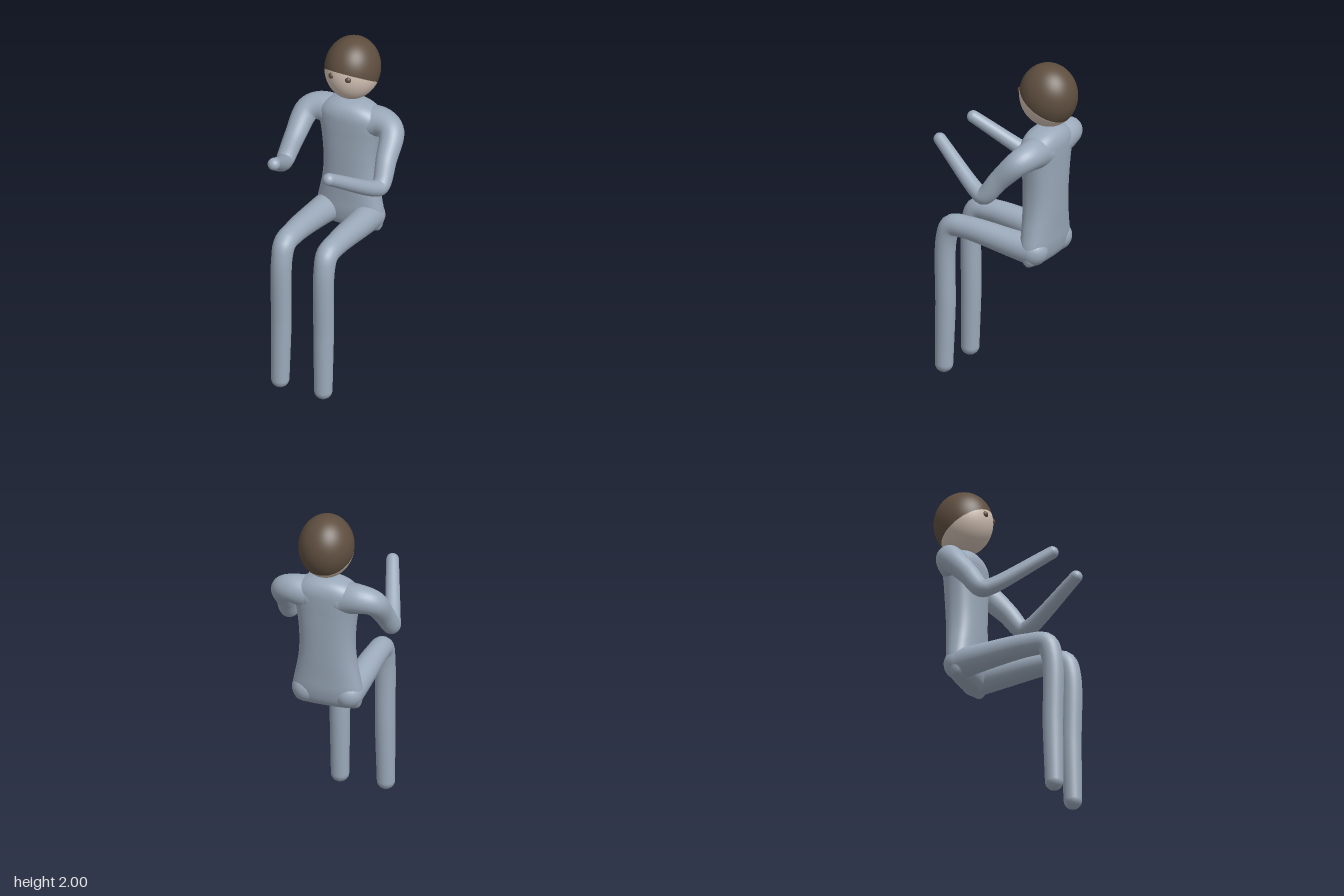
import * as THREE from 'three';
import { mergeVertices, mergeGeometries } from 'three/addons/utils/BufferGeometryUtils.js';

const material = (name, color) => Object.assign(new THREE.MeshStandardMaterial({ color }), { name });

function part(name, geometry, mat) {
  const mesh = new THREE.Mesh(geometry, mat);
  mesh.name = name;
  return mesh;
}

// Round limb through [x, y, z, radius] points, with ball ends.
function limb(points, side) {
  const centres = points.map(([x, y, z]) => new THREE.Vector3(x * side, y, z));
  const curve = new THREE.CatmullRomCurve3(centres, false, 'centripetal');
  const steps = 72, sides = 28;
  const tube = new THREE.TubeGeometry(curve, steps, 1, sides);
  const pos = tube.attributes.position, v = new THREE.Vector3();
  for (let i = 0; i <= steps; i++) {
    const centre = curve.getPointAt(i / steps);
    const t = curve.getUtoTmapping(i / steps) * (points.length - 1);
    const k = Math.min(Math.floor(t), points.length - 2);
    const radius = THREE.MathUtils.lerp(points[k][3], points[k + 1][3], t - k);
    for (let j = 0; j <= sides; j++) {
      const n = i * (sides + 1) + j;
      v.fromBufferAttribute(pos, n).sub(centre).multiplyScalar(radius).add(centre);
      pos.setXYZ(n, v.x, v.y, v.z);
    }
  }
  const ends = [0, points.length - 1].map((k) =>
    new THREE.SphereGeometry(points[k][3], 28, 18).translate(...centres[k].toArray()));
  return mergeGeometries([tube, ...ends]);
}

// Torso from [height, half width, half depth] sections.
function torsoGeometry() {
  const sections = [
    [0.80, 0.16, 0], [0.808, 0.185, 0.04], [0.84, 0.2, 0.072], [0.91, 0.205, 0.09],
    [1.0, 0.188, 0.094], [1.1, 0.169, 0.099], [1.2, 0.162, 0.102], [1.3, 0.166, 0.105],
    [1.4, 0.178, 0.107], [1.48, 0.192, 0.109], [1.54, 0.19, 0.107], [1.585, 0.145, 0.09],
    [1.612, 0.075, 0.055], [1.62, 0, 0],
  ].map((s) => new THREE.Vector3(...s));
  const profile = new THREE.CatmullRomCurve3(sections, false, 'centripetal');
  const geo = new THREE.CylinderGeometry(1, 1, 1, 48, 64, true);
  const pos = geo.attributes.position;
  const bulge = (c) => Math.sign(c) * Math.pow(Math.abs(c), 0.85);
  for (let i = 0; i < pos.count; i++) {
    const s = profile.getPoint(THREE.MathUtils.clamp(pos.getY(i) + 0.5, 0, 1));
    const z = -0.218 - 0.014 * (s.x - 0.8) / 0.8;
    pos.setXYZ(i, bulge(pos.getX(i)) * s.y, s.x, z + bulge(pos.getZ(i)) * s.z);
  }
  geo.deleteAttribute('uv');
  geo.deleteAttribute('normal');
  const welded = mergeVertices(geo, 1e-5);
  welded.computeVertexNormals();
  return welded;
}

// Piece of the egg-shaped head between two angles from a tilted pole.
function headPiece(start, length) {
  return new THREE.SphereGeometry(1, 56, 32, 0, Math.PI * 2, start, length)
    .rotateX(-0.52).scale(0.157, 0.186, 0.17).translate(0, 1.814, -0.245);
}

export function createModel() {
  const suit = material('suit', 0x9ba9ba);
  const skin = material('skin', 0xd0bfb2);
  const brown = material('hair brown', 0x5e4e3f);

  const model = new THREE.Group();
  model.name = 'seatedFigure';

  // Head: hair cap and face share one surface and meet at the hairline
  const hairline = 1.829;
  const head = new THREE.Group();
  head.name = 'head';
  head.add(part('hair', headPiece(0, hairline), brown));
  head.add(part('face', headPiece(hairline, Math.PI - hairline), skin));
  model.add(head);

  model.add(part('torso', torsoGeometry(), suit));

  // Shoulder, elbow and hand
  const armPath = [
    [0.08, 1.495, -0.235, 0.1], [0.2, 1.505, -0.24, 0.083], [0.265, 1.48, -0.21, 0.073],
    [0.29, 1.36, -0.1, 0.06], [0.304, 1.245, -0.005, 0.051], [0.29, 1.255, 0.045, 0.047],
    [0.175, 1.455, 0.368, 0.036],
  ];
  // Hip, knee and foot
  const legPath = [
    [0.122, 0.89, -0.22, 0.088], [0.13, 0.902, -0.1, 0.08], [0.135, 0.928, 0.2, 0.066],
    [0.135, 0.915, 0.315, 0.064], [0.135, 0.83, 0.35, 0.06], [0.135, 0.4, 0.356, 0.058],
    [0.137, 0.052, 0.364, 0.052],
  ];
  for (const [label, side] of [['left', 1], ['right', -1]]) {
    model.add(part(label + 'Arm', limb(armPath, side), suit));
    model.add(part(label + 'Leg', limb(legPath, side), suit));
    const eye = part(label + 'Eye', new THREE.SphereGeometry(0.019, 20, 14), brown);
    eye.position.set(0.052 * side, 1.826, -0.093);
    head.add(eye);
  }
  return model;
}
